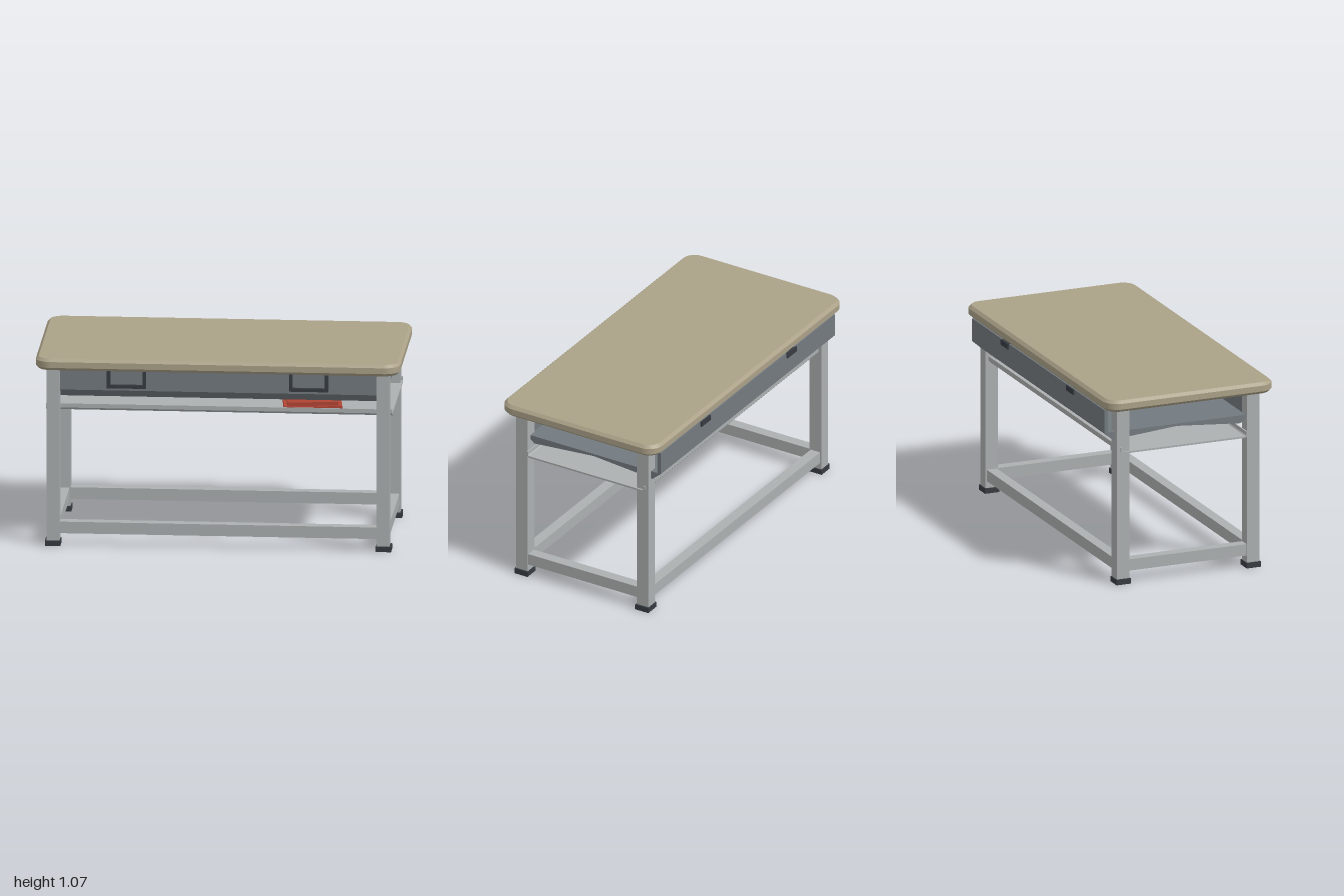
import * as THREE from 'three';

const mat = (name, color) => Object.assign(new THREE.MeshStandardMaterial({ color }), { name });

export function createModel() {
  const root = new THREE.Group();
  root.name = 'desk';
  const wood = mat('tan laminate', 0xaba188);
  const steel = mat('light grey steel', 0xacb0b0);
  const panel = mat('slate grey panel', 0x737a7f);
  const dark = mat('dark rubber', 0x373c42);
  const red = mat('red cover', 0xb04434);

  const add = (name, geometry, material, parent = root) => {
    const mesh = new THREE.Mesh(geometry, material);
    mesh.name = name;
    parent.add(mesh);
    return mesh;
  };
  // box given by its limits on each axis
  const box = (name, material, [x0, x1], [y0, y1], [z0, z1], parent = root) => {
    const mesh = add(name, new THREE.BoxGeometry(x1 - x0, y1 - y0, z1 - z0), material, parent);
    mesh.position.set((x0 + x1) / 2, (y0 + y1) / 2, (z0 + z1) / 2);
    return mesh;
  };
  // section of [z, y] points extruded across x
  const acrossX = (name, material, points, halfWidth) => {
    const shape = new THREE.Shape(points.map(([z, y]) => new THREE.Vector2(z, y)));
    const g = new THREE.ExtrudeGeometry(shape, { depth: 2 * halfWidth, bevelEnabled: false });
    g.translate(0, 0, -halfWidth).rotateY(-Math.PI / 2);
    return add(name, g, material);
  };

  // tabletop: rounded rectangle with chamfered edges
  const bevel = 0.016, w = 1 - bevel, d = 0.5 - bevel, r = 0.07;
  const top = new THREE.Shape();
  top.moveTo(-w + r, -d);
  top.absarc(w - r, -d + r, r, -Math.PI / 2, 0);
  top.absarc(w - r, d - r, r, 0, Math.PI / 2);
  top.absarc(-w + r, d - r, r, Math.PI / 2, Math.PI);
  top.absarc(-w + r, -d + r, r, Math.PI, 1.5 * Math.PI);
  const topGeo = new THREE.ExtrudeGeometry(top, {
    depth: 0.033, bevelThickness: bevel, bevelSize: bevel, bevelSegments: 1, curveSegments: 6,
  });
  topGeo.rotateX(-Math.PI / 2).translate(0, 1.005 + bevel, 0);
  add('tabletop', topGeo, wood);

  // legs and feet
  for (const sx of [-1, 1]) for (const sz of [-1, 1]) {
    const span = (s, a, b) => (s > 0 ? [a, b] : [-b, -a]);
    box('leg', steel, span(sx, 0.87, 0.94), [0.03, 1.005], span(sz, 0.35, 0.425));
    box('foot', dark, span(sx, 0.865, 0.95), [0, 0.03], span(sz, 0.345, 0.43));
  }

  // lower rails
  for (const s of [-1, 1]) {
    box('longRail', steel, [-0.87, 0.87], [0.07, 0.135], [s * 0.3875 - 0.03, s * 0.3875 + 0.03]);
    box('sideRail', steel, [s * 0.905 - 0.03, s * 0.905 + 0.03], [0.07, 0.135], [-0.35, 0.35]);
  }

  // storage box under the top: front and back walls with a folded floor
  acrossX('storageBox', panel, [
    [0.377, 1.005], [0.355, 1.005], [0.355, 0.87], [-0.465, 0.87], [-0.465, 1.0], [-0.487, 1.0],
    [-0.487, 0.87], [-0.435, 0.825], [-0.055, 0.857], [0.325, 0.825], [0.377, 0.87],
  ], 0.912);

  // thin tray with upturned lips
  acrossX('tray', steel, [
    [0.35, 0.785], [0.342, 0.785], [0.342, 0.766], [0.336, 0.76], [-0.391, 0.76], [-0.397, 0.766],
    [-0.397, 0.785], [-0.407, 0.785], [-0.407, 0.762], [-0.397, 0.75], [0.338, 0.75], [0.35, 0.762],
  ], 0.95);

  // front hanging loops and back catches
  for (const s of [-1, 1]) {
    const loop = new THREE.Group();
    loop.name = 'frontLoop';
    root.add(loop);
    const x = s * 0.5, z = [0.45, 0.47];
    box('loopBar', dark, [x - 0.107, x + 0.107], [0.905, 0.923], z, loop);
    for (const t of [-1, 1]) {
      const c = x + t * 0.098;
      box('loopSide', dark, [c - 0.009, c + 0.009], [0.923, 1.006], z, loop);
    }
    box('backCatch', dark, [s * 0.45 - 0.048, s * 0.45 + 0.048], [0.97, 1.0], [-0.496, -0.474]);
  }

  // two stacked books lying slightly askew on the tray
  const books = new THREE.Group();
  books.name = 'books';
  books.position.set(0.5, 0.76, 0.193);
  books.rotation.y = 0.11;
  root.add(books);
  box('lowerBook', red, [-0.16, 0.16], [0, 0.024], [-0.115, 0.115], books);
  box('upperBook', red, [-0.14, 0.14], [0.024, 0.044], [-0.102, 0.102], books);

  return root;
}
